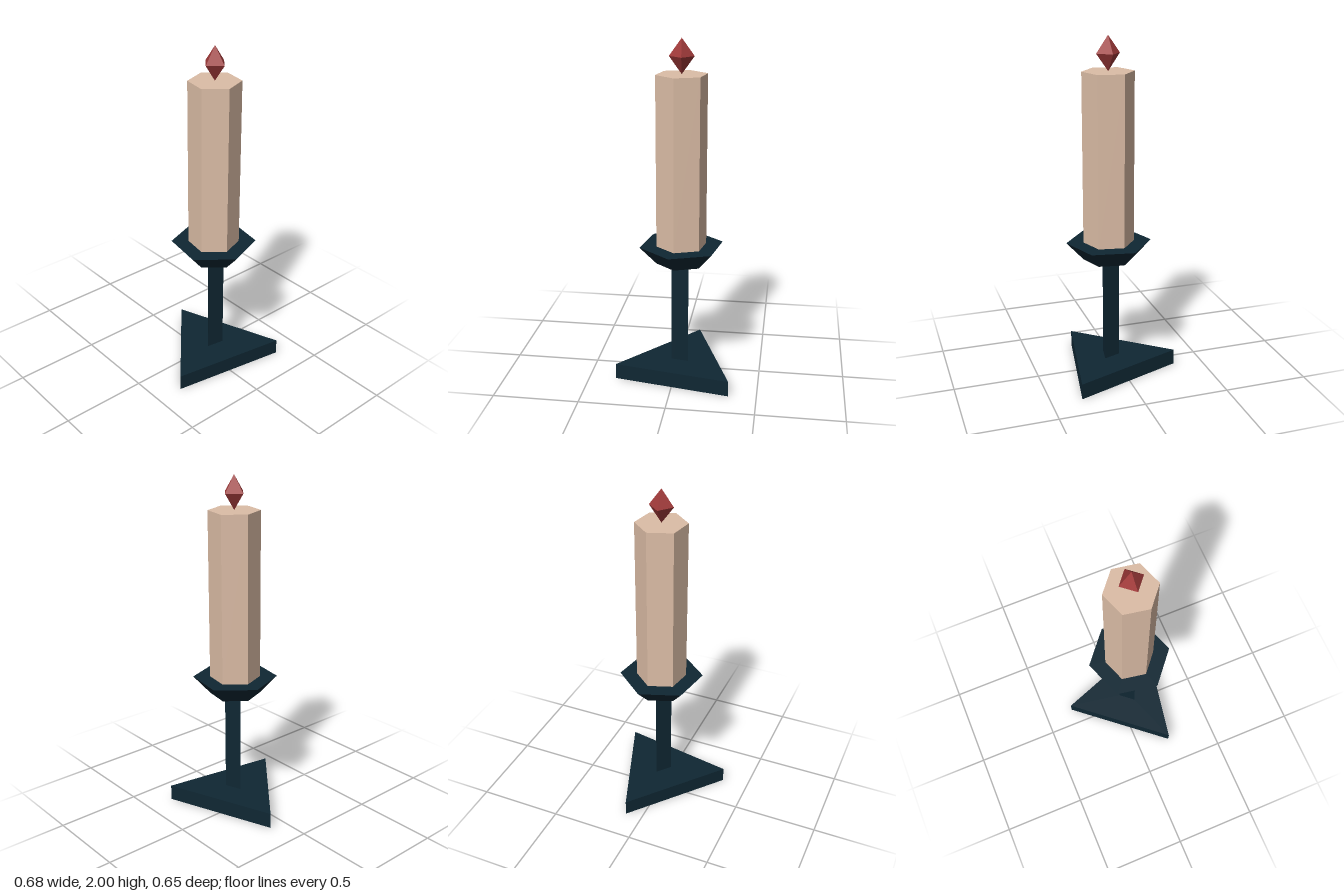
import * as THREE from 'three';

const AXIS = [0.033, 0.067]; // x, z of the central axis
const TURN = THREE.MathUtils.degToRad(170);

const iron = new THREE.MeshStandardMaterial({ color: 0x0f2733, flatShading: true, side: THREE.DoubleSide });
iron.name = 'dark iron';
const wax = new THREE.MeshStandardMaterial({ color: 0xdcbda6, flatShading: true });
wax.name = 'cream wax';
const fire = new THREE.MeshStandardMaterial({ color: 0xa03a3a, flatShading: true });
fire.name = 'red flame';

export function createModel() {
  const model = new THREE.Group();
  model.name = 'candlestick';

  const add = (name, geometry, material, y) => {
    const mesh = new THREE.Mesh(geometry, material);
    mesh.name = name;
    mesh.position.set(AXIS[0], y, AXIS[1]);
    model.add(mesh);
    return mesh;
  };

  // upright prism or tapered prism between two heights
  const prism = (name, material, sides, rTop, rBottom, y0, y1, open = false) =>
    add(name, new THREE.CylinderGeometry(rTop, rBottom, y1 - y0, sides, 1, open, TURN), material, (y0 + y1) / 2);

  // triangular foot, hollow underneath
  prism('footRim', iron, 3, 0.398, 0.398, 0, 0.093, true);
  const plate = new THREE.CircleGeometry(0.398, 3, TURN - Math.PI / 2).rotateX(-Math.PI / 2);
  add('footTop', plate, iron, 0.093);

  // triangular stem and flared drip pan
  prism('stem', iron, 3, 0.06, 0.06, 0, 0.715, true);
  prism('dripPan', iron, 6, 0.246, 0.147, 0.715, 0.82);

  // hexagonal candle
  prism('candle', wax, 6, 0.147, 0.147, 0.82, 1.805);

  // eight-sided flame
  const flame = add('flame', new THREE.OctahedronGeometry(1), fire, 1.9025);
  flame.scale.set(0.07, 0.0975, 0.07);
  flame.rotation.y = THREE.MathUtils.degToRad(5);

  return model;
}
